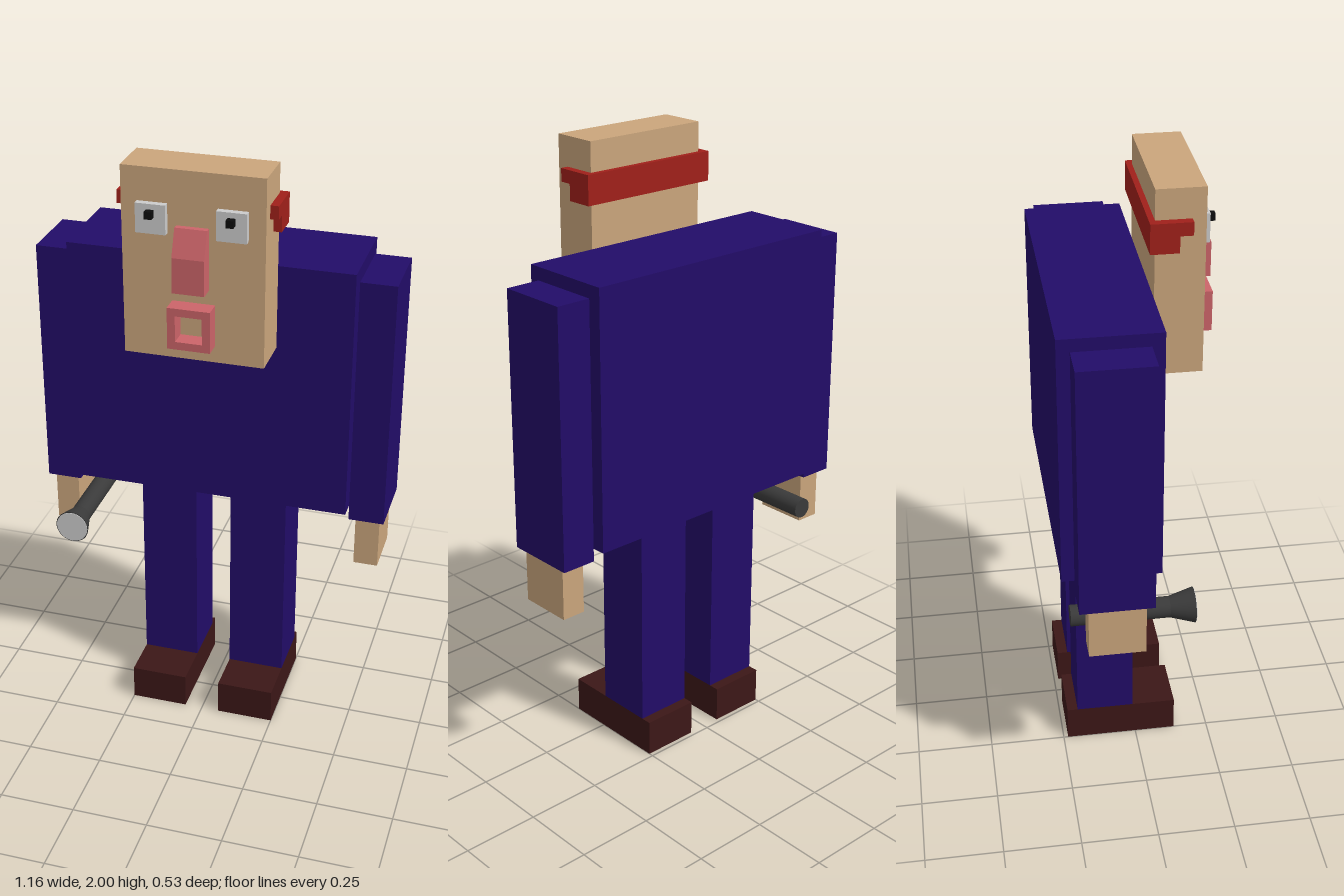
import * as THREE from 'three';

const paint = (color) => new THREE.MeshStandardMaterial({ color });
const SUIT = paint(0x220c68), SKIN = paint(0xcaa57c), SHOE = paint(0x3c1717), RED = paint(0xa0201a);
const PINK = paint(0xcc6469), GREY = paint(0xcccccc), BLACK = paint(0x0c0c0c), METAL = paint(0x3a3a3a);

export function createModel() {
  const model = new THREE.Group();
  model.name = 'blockMan';

  const add = (name, geometry, material) => {
    const mesh = new THREE.Mesh(geometry, material);
    mesh.name = name;
    model.add(mesh);
    return mesh;
  };
  // Box given by its [min, max] range on each axis
  const box = (name, material, [x0, x1], [y0, y1], [z0, z1]) =>
    add(name, new THREE.BoxGeometry(x1 - x0, y1 - y0, z1 - z0), material)
      .position.set((x0 + x1) / 2, (y0 + y1) / 2, (z0 + z1) / 2);
  // Side profile in (z, y), extruded across x from x0 to x1
  const profile = (name, material, points, x0, x1) => {
    const shape = new THREE.Shape(points.map(([z, y]) => new THREE.Vector2(-z, y)));
    const geometry = new THREE.ExtrudeGeometry(shape, { depth: x1 - x0, bevelEnabled: false });
    geometry.rotateY(Math.PI / 2).translate(x0, 0, 0);
    return add(name, geometry, material);
  };
  const square = (Type, r) => new Type([[-r, -r], [r, -r], [r, r], [-r, r]].map(([x, y]) => new THREE.Vector2(x, y)));

  // Body and head
  box('torso', SUIT, [-0.462, 0.462], [0.83, 1.67], [-0.265, 0.05]);
  box('head', SKIN, [-0.22, 0.222], [1.4, 2], [0.055, 0.207]);

  // Paired parts
  for (const [side, s] of [['left', 1], ['right', -1]]) {
    const span = (a, b) => (s > 0 ? [a, b] : [-b, -a]);
    box(side + 'Arm', SUIT, span(0.466, 0.582), [0.79, 1.63], [-0.225, 0.01]);
    box(side + 'Hand', SKIN, span(0.485, 0.565), [0.61, 0.79], [-0.195, -0.015]);
    box(side + 'Leg', SUIT, span(0.06, 0.25), [0.12, 0.83], [-0.2, -0.01]);
    box(side + 'Shoe', SHOE, span(0.06, 0.25), [0, 0.12], [-0.235, 0.135]);
    box(side + 'Eye', GREY, span(0.077, 0.17), [1.803, 1.895], [0.207, 0.228]);
    box(side + 'Pupil', BLACK, span(0.112, 0.135), [1.855, 1.878], [0.228, 0.25]);
    // Band end: wide behind, stepping up to a narrow tab in front
    profile(side + 'BandEnd', RED,
      [[0.037, 1.81], [0.037, 1.905], [0.165, 1.905], [0.165, 1.863], [0.125, 1.863], [0.125, 1.81]],
      ...span(0.221, 0.248));
  }
  box('headBand', RED, [-0.221, 0.221], [1.81, 1.905], [0.037, 0.055]);

  // Nose with a sloped bridge
  profile('nose', PINK,
    [[0.207, 1.635], [0.207, 1.83], [0.226, 1.83], [0.258, 1.747], [0.258, 1.635]], -0.05, 0.05);

  // Square open mouth
  const lips = square(THREE.Shape, 0.067);
  lips.holes.push(square(THREE.Path, 0.042));
  add('mouth', new THREE.ExtrudeGeometry(lips, { depth: 0.057, bevelEnabled: false }), PINK)
    .position.set(0.002, 1.522, 0.207);

  // Flashlight beside the right hand, pointing forward
  const rod = (name, material, rFront, rBack, z0, z1) => {
    const geometry = new THREE.CylinderGeometry(rFront, rBack, z1 - z0, 32).rotateX(Math.PI / 2);
    add(name, geometry, material).position.set(-0.448, 0.685, (z0 + z1) / 2);
  };
  rod('flashlightBarrel', METAL, 0.034, 0.034, -0.24, 0.08);
  rod('flashlightHead', METAL, 0.057, 0.034, 0.075, 0.154);
  rod('flashlightLens', GREY, 0.054, 0.054, 0.15, 0.156);

  return model;
}
